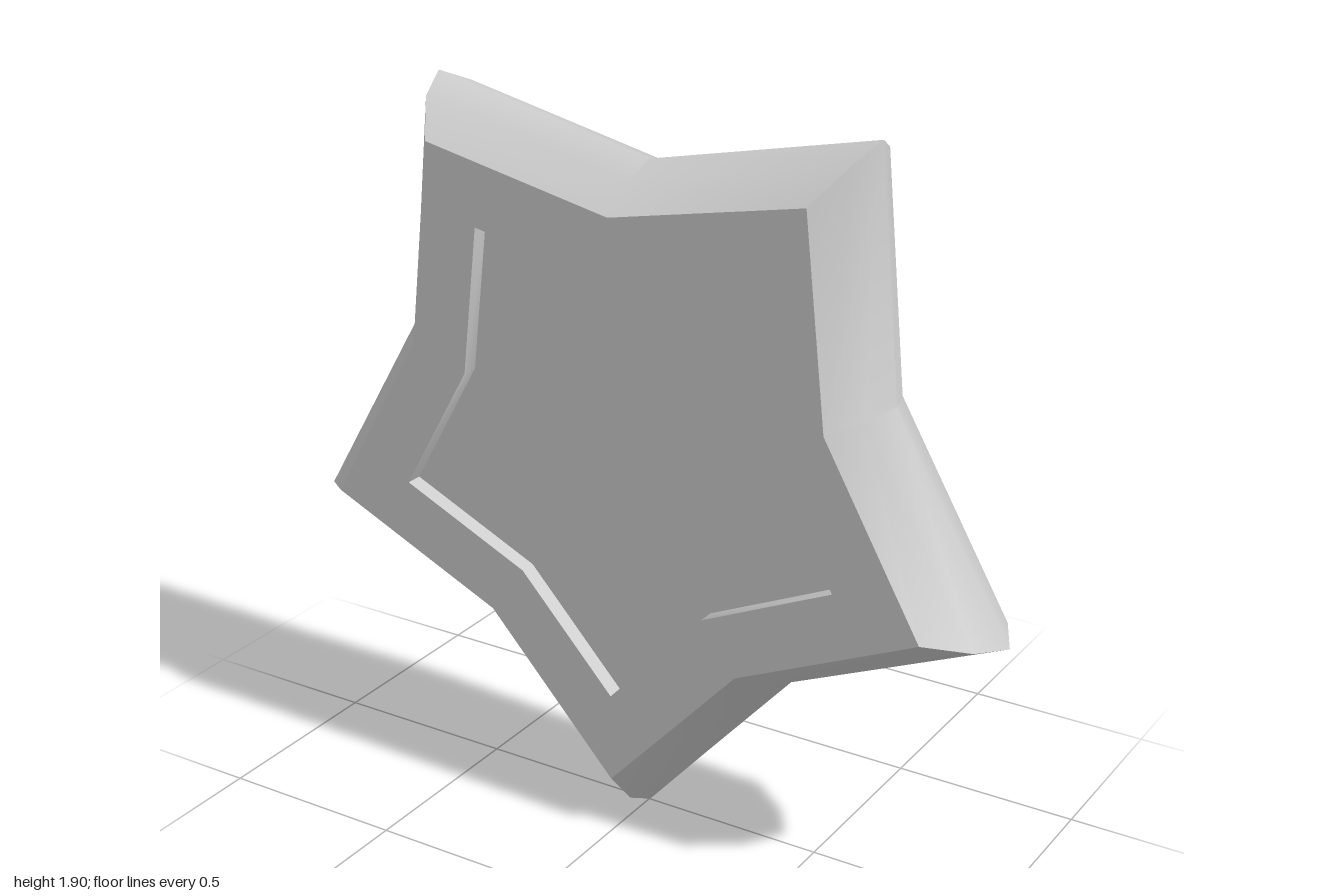
import * as THREE from 'three';
import { toCreasedNormals } from 'three/addons/utils/BufferGeometryUtils.js';

const CENTRE_Y = 1.0515; // height of the star's centre, lowest tip on the ground
const CREASE = THREE.MathUtils.degToRad(45);

// Star-shaped rings, each { tip radius, valley radius, z }
const centre = { tip: 0, valley: 0, z: 0.1415 };
const floorEdge = { tip: 0.654, valley: 0.452, z: 0.1415 };
const recessEdge = { tip: 0.654, valley: 0.452, z: 0.1865 };
const faceEdge = { tip: 0.896, valley: 0.617, z: 0.1865 };
const bevel = { tip: 1.0, valley: 0.681, z: 0.095 };
const ridge = { tip: 1.0515, valley: 0.715, z: 0 };
const mirrored = (ring) => ({ ...ring, z: -ring.z });

// Point i of a ring: even points are tips, odd points are valleys
function starPoint(ring, i) {
  const angle = -Math.PI / 2 + (i * Math.PI) / 5;
  const r = i % 2 === 0 ? ring.tip : ring.valley;
  return [r * Math.cos(angle), r * Math.sin(angle), ring.z];
}

// Skin a sequence of star rings, smooth except at sharp edges
function loftStar(name, rings, material) {
  const positions = [];
  for (let k = 0; k < rings.length - 1; k++) {
    const a = rings[k];
    const b = rings[k + 1];
    for (let i = 0; i < 10; i++) {
      const a0 = starPoint(a, i), a1 = starPoint(a, i + 1);
      const b0 = starPoint(b, i), b1 = starPoint(b, i + 1);
      positions.push(...a0, ...b0, ...b1);
      if (a.tip > 0) positions.push(...a0, ...b1, ...a1);
    }
  }
  const geometry = new THREE.BufferGeometry();
  geometry.setAttribute('position', new THREE.Float32BufferAttribute(positions, 3));
  const mesh = new THREE.Mesh(toCreasedNormals(geometry, CREASE), material);
  mesh.name = name;
  mesh.position.y = CENTRE_Y;
  return mesh;
}

export function createModel() {
  const group = new THREE.Group();
  group.name = 'star';
  const material = new THREE.MeshStandardMaterial({ color: 0xcccccc });

  // Rounded outer rim
  group.add(loftStar('rim', [faceEdge, bevel, ridge, mirrored(bevel), mirrored(faceEdge)], material));

  // Flat border and sunken panel on both faces
  for (const [side, turn] of [['front', 0], ['back', Math.PI]]) {
    const border = loftStar(side + 'Border', [recessEdge, faceEdge], material);
    const panel = loftStar(side + 'Recess', [centre, floorEdge, recessEdge], material);
    border.rotation.y = panel.rotation.y = turn;
    group.add(border, panel);
  }
  return group;
}
